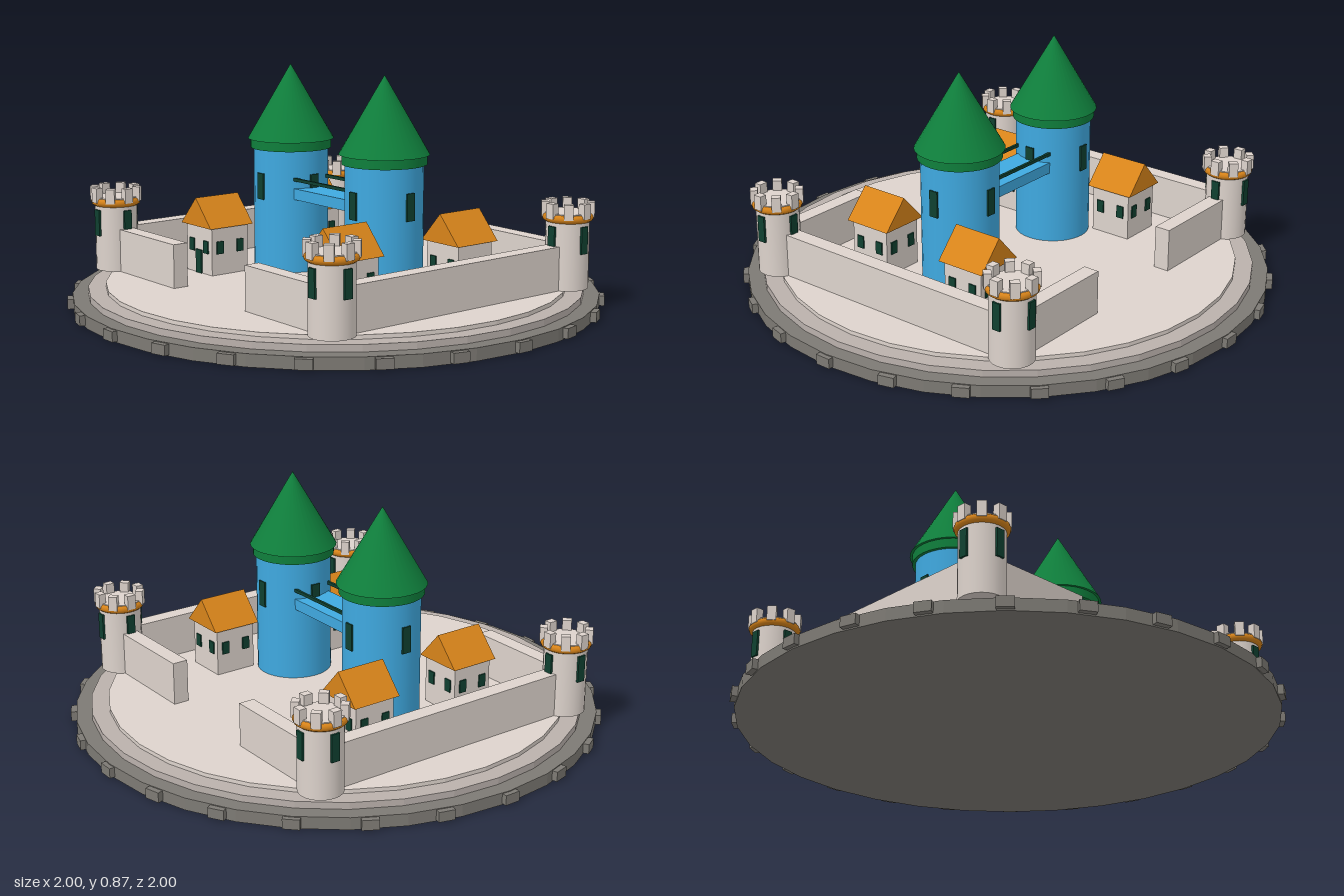
import * as THREE from 'three';

const paint = (color, extra = {}) => new THREE.MeshStandardMaterial({ color, ...extra });
const STONE = paint(0xddd3cc), PLAZA = paint(0xddd3cc, { flatShading: true });
const STEP = paint(0xbab1ac, { flatShading: true }), ROCK = paint(0x7d7a74, { flatShading: true });
const BLUE = paint(0x3fa9e0), GREEN = paint(0x0f7f3c), DARK = paint(0x0f4030), ORANGE = paint(0xd8841a);
const GROUND = 0.085;

function add(parent, name, geometry, material, x = 0, y = 0, z = 0, ry = 0) {
  const mesh = new THREE.Mesh(geometry, material);
  mesh.name = name;
  mesh.position.set(x, y, z);
  mesh.rotation.y = ry;
  parent.add(mesh);
  return mesh;
}

function group(parent, name, x = 0, y = 0, z = 0) {
  const g = new THREE.Group();
  g.name = name;
  g.position.set(x, y, z);
  parent.add(g);
  return g;
}

// Upright cylinder between two heights
function drum(parent, name, r, y0, y1, material, sides = 32) {
  return add(parent, name, new THREE.CylinderGeometry(r, r, y1 - y0, sides), material, 0, (y0 + y1) / 2);
}

// Boxes set evenly around a circle
function ringOfBoxes(parent, name, count, r, y, [w, h, d], material) {
  const geometry = new THREE.BoxGeometry(w, h, d);
  for (let i = 0; i < count; i++) {
    const a = (i / count) * Math.PI * 2;
    add(parent, name, geometry, material, Math.sin(a) * r, y, Math.cos(a) * r, a);
  }
}

// Round stepped island with a rim of stones
function buildBase(root) {
  const base = group(root, 'base');
  drum(base, 'foundation', 0.983, 0, 0.045, ROCK);
  drum(base, 'step', 0.925, 0.045, 0.07, STEP);
  drum(base, 'courtyard', 0.86, 0.07, GROUND, PLAZA);
  ringOfBoxes(base, 'rimStone', 24, 0.982, 0.0235, [0.06, 0.037, 0.036], ROCK);
}

// Blue tower with a pointed roof
function buildTallTower(root, x) {
  const tower = group(root, 'tallTower', x);
  drum(tower, 'towerBody', 0.143, GROUND, 0.56, BLUE);
  drum(tower, 'roofCollar', 0.155, 0.55, 0.588, GREEN);
  add(tower, 'pointedRoof', new THREE.ConeGeometry(0.165, 0.285, 32), GREEN, 0, 0.7275);
  ringOfBoxes(tower, 'towerWindow', 4, 0.141, 0.41, [0.036, 0.1, 0.014], DARK);
}

// Footbridge with two handrails
function buildBridge(root) {
  const bridge = group(root, 'bridge');
  add(bridge, 'bridgeDeck', new THREE.BoxGeometry(0.32, 0.042, 0.155), BLUE, 0, 0.388);
  for (const z of [-0.075, 0.075]) {
    add(bridge, 'handrail', new THREE.BoxGeometry(0.32, 0.012, 0.01), DARK, 0, 0.444, z);
  }
}

// Corner turret with battlements
function buildTurret(root, x, z) {
  const turret = group(root, 'cornerTurret', x, 0, z);
  drum(turret, 'turretBody', 0.08, GROUND, 0.36, STONE, 24);
  const band = add(turret, 'turretBand', new THREE.TorusGeometry(0.078, 0.016, 10, 28), ORANGE, 0, 0.349);
  band.rotation.x = Math.PI / 2;
  drum(turret, 'turretDeck', 0.084, 0.355, 0.367, STONE, 24);
  ringOfBoxes(turret, 'merlon', 8, 0.082, 0.377, [0.034, 0.056, 0.028], STONE);
  ringOfBoxes(turret, 'turretWindow', 4, 0.078, 0.27, [0.032, 0.1, 0.016], DARK);
}

// Cottage with a gable roof running front to back
function buildHouse(root, x, z) {
  const house = group(root, 'house', x, 0, z);
  const w = 0.165, half = w / 2;
  add(house, 'houseWalls', new THREE.BoxGeometry(w, 0.19, w), STONE, 0, GROUND + 0.095);

  const gable = new THREE.Shape();
  gable.moveTo(-0.0975, 0);
  gable.lineTo(0.0975, 0);
  gable.lineTo(0, 0.108);
  gable.closePath();
  const roof = new THREE.ExtrudeGeometry(gable, { depth: 0.195, bevelEnabled: false });
  add(house, 'gableRoof', roof, ORANGE, 0, 0.267, -0.0975);

  // Two windows on every wall
  const pane = new THREE.BoxGeometry(0.03, 0.048, 0.01);
  for (let i = 0; i < 4; i++) {
    const side = group(house, 'houseWindows');
    side.rotation.y = i * Math.PI / 2;
    for (const s of [-1, 1]) add(side, 'houseWindow', pane, DARK, s * 0.046, 0.19, half);
  }
  add(house, 'houseDoor', new THREE.BoxGeometry(0.036, 0.09, 0.012), DARK, 0, GROUND + 0.045, half);
}

export function createModel() {
  const root = new THREE.Group();
  root.name = 'castle';
  buildBase(root);
  buildBridge(root);

  const wallH = 0.163, wallY = GROUND + wallH / 2;
  for (const s of [-1, 1]) {
    buildTallTower(root, s * 0.275);
    add(root, 'sideWall', new THREE.BoxGeometry(0.062, wallH, 1.11), STONE, s * 0.66, wallY, 0);
    for (const t of [-1, 1]) {
      buildTurret(root, s * 0.66, t * 0.552);
      add(root, 'gateWall', new THREE.BoxGeometry(0.44, wallH, 0.06), STONE, s * 0.44, wallY, t * 0.552);
    }
    buildHouse(root, s * 0.44, -0.22);
    buildHouse(root, s * 0.385, 0.273);
  }
  return root;
}
